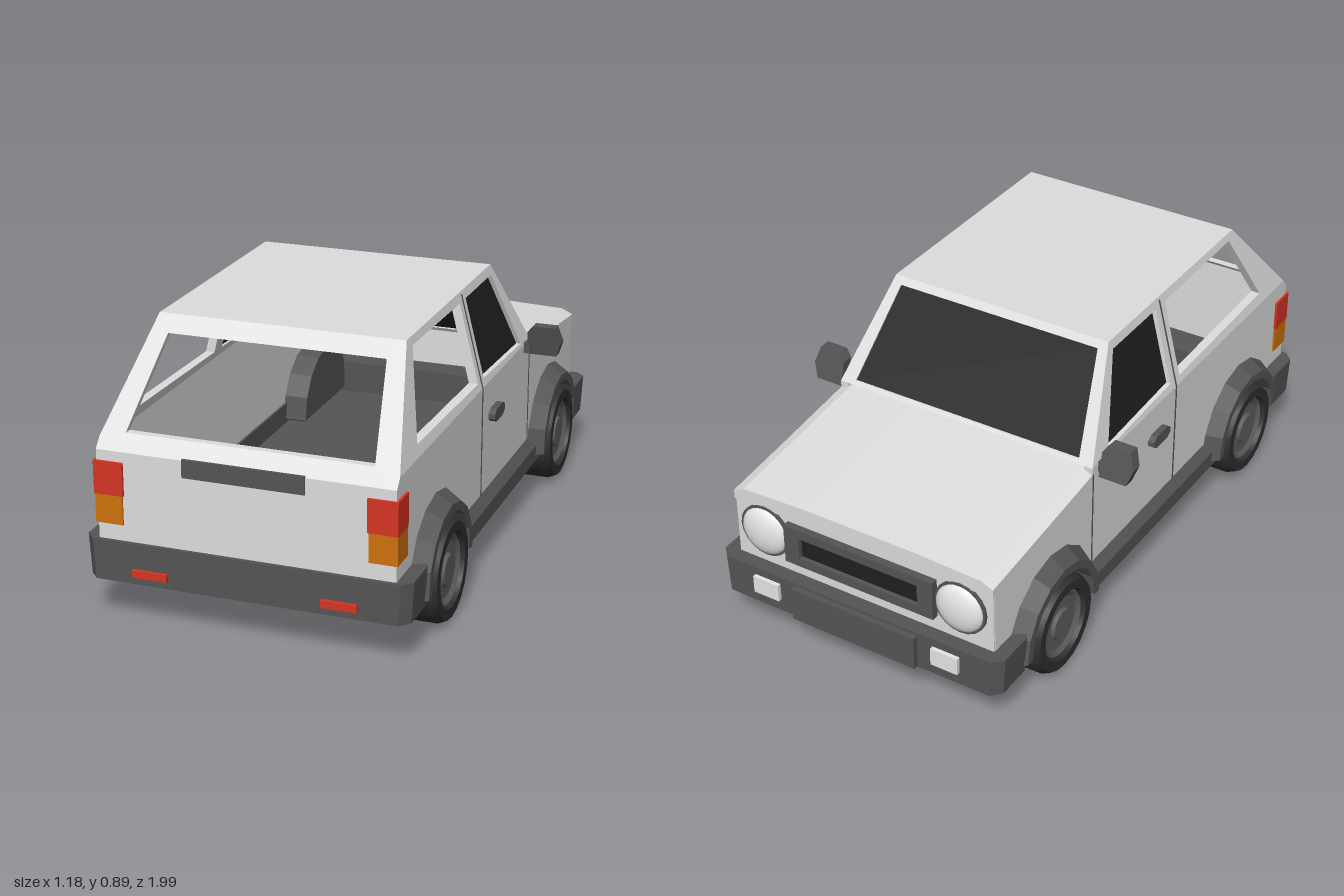
import * as THREE from 'three';
import { toCreasedNormals } from 'three/addons/utils/BufferGeometryUtils.js';

const mat = (name, color) => {
  const m = new THREE.MeshStandardMaterial({ color });
  m.name = name;
  return m;
};

export function createModel() {
  const car = new THREE.Group();
  car.name = 'hatchback';
  const paint = mat('light grey paint', 0xdedede);
  const trim = mat('dark grey trim', 0x555555);
  const glass = mat('black glass', 0x202020);
  const rubber = mat('tyre rubber', 0x303030);
  const steel = mat('wheel steel', 0x606060);
  const red = mat('red lens', 0xd63424);
  const amber = mat('amber lens', 0xd0720c);
  const lamp = mat('clear lamp', 0xececec);

  const add = (name, geo, m) => {
    const mesh = new THREE.Mesh(geo, m);
    mesh.name = name;
    car.add(mesh);
    return mesh;
  };
  // box given by its limits
  const box = (name, m, x0, x1, y0, y1, z0, z1) => {
    const b = add(name, new THREE.BoxGeometry(Math.abs(x1 - x0), y1 - y0, z1 - z0), m);
    b.position.set((x0 + x1) / 2, (y0 + y1) / 2, (z0 + z1) / 2);
    return b;
  };
  const vecs = pts => pts.map(p => new THREE.Vector2(p[0], p[1]));
  // flat outline with holes, extruded by depth, each point placed by map(u, v, w)
  const slab = (name, m, pts, holes, depth, map) => {
    const shape = new THREE.Shape(vecs(pts));
    holes.forEach(h => shape.holes.push(new THREE.Path(vecs(h))));
    const geo = new THREE.ExtrudeGeometry(shape, { depth, bevelEnabled: false });
    const p = geo.attributes.position;
    for (let i = 0; i < p.count; i++) p.setXYZ(i, ...map(p.getX(i), p.getY(i), p.getZ(i)));
    // turn mirrored parts the right way out
    const [a, b, c] = [0, 1, 2].map(() => new THREE.Vector3());
    let volume = 0;
    for (let i = 0; i < p.count; i += 3) {
      a.fromBufferAttribute(p, i); b.fromBufferAttribute(p, i + 1); c.fromBufferAttribute(p, i + 2);
      volume += a.dot(b.cross(c));
    }
    if (volume < 0) for (let i = 0; i < p.count; i += 3) {
      b.fromBufferAttribute(p, i + 1); c.fromBufferAttribute(p, i + 2);
      p.setXYZ(i + 1, c.x, c.y, c.z);
      p.setXYZ(i + 2, b.x, b.y, b.z);
    }
    geo.computeVertexNormals();
    return add(name, geo, m);
  };
  const AXLE = 0.62, HUB = 0.165, SIDE = 0.468, BELT = 0.58;
  const arc = (cz, r, from, to, n = 8) => Array.from({ length: n + 1 }, (_, i) => {
    const t = THREE.MathUtils.degToRad(from + (to - from) * i / n);
    return [cz + r * Math.cos(t), HUB + r * Math.sin(t)];
  });

  // side window outlines as (z, y)
  const rearWindow = [[0.77, 0.615], [0.635, 0.865], [0.19, 0.86], [0.19, 0.605]];
  const doorWindow = [[0.13, 0.86], [0.13, 0.605], [-0.275, 0.592], [-0.14, 0.86]];
  const lower = [[-0.93, 0.2], ...arc(-AXLE, 0.2, 170, 10), ...arc(AXLE, 0.2, 170, 10),
    [0.97, 0.2], [0.97, 0.55], [0.945, BELT], [-0.375, BELT], [-0.375, 0.555], [-0.93, 0.495]];
  const upper = [[0.945, BELT], [0.67, 0.89], [-0.155, 0.89], [-0.375, BELT]];

  for (const s of [1, -1]) {
    const lean = (inset = 0) => (u, v, w) => [s * (SIDE - (v - BELT) * 0.25 - inset - w), v, u];
    const outer = X => (u, v, w) => [s * (X - w), v, u];

    // body sides
    slab('lowerSide', paint, lower, [], 0.03, outer(SIDE));
    slab('upperSide', paint, upper, [rearWindow, doorWindow], 0.03, lean());
    slab('doorGlass', glass, doorWindow, [], 0.006, lean(0.015));

    // door gaps
    box('doorGap', trim, s * 0.466, s * 0.47, 0.21, BELT, 0.157, 0.163);
    box('doorGap', trim, s * 0.466, s * 0.47, 0.21, 0.555, -0.373, -0.368);
    slab('pillarGap', trim, [[0.157, BELT], [0.163, BELT], [0.163, 0.88], [0.157, 0.88]], [], 0.004, lean(-0.002));

    // sill
    slab('sill', trim, [[0.43, 0.135], [0.495, 0.135], [0.495, 0.19], [0.468, 0.22], [0.43, 0.22]], [], 0.88,
      (u, v, w) => [s * u, v, w - 0.44]);

    // door handle
    slab('doorHandle', trim, [[-0.02, 0.455], [0, 0.442], [0.07, 0.442], [0.09, 0.455], [0.09, 0.472], [0.07, 0.485],
      [0, 0.485], [-0.02, 0.472]], [], 0.03, outer(0.49));

    // door mirror
    slab('mirror', trim, [[0.48, 0.545], [0.575, 0.545], [0.592, 0.595], [0.575, 0.65], [0.5, 0.65], [0.48, 0.625]], [],
      0.04, (u, v, w) => [s * u, v, -0.305 - w + (v - 0.6) * 0.25]);
    box('mirrorStalk', trim, s * 0.455, s * 0.49, 0.55, 0.585, -0.34, -0.305);

    // wheels with arches and wells
    for (const cz of [AXLE, -AXLE]) {
      slab('archFlare', trim, [...arc(cz, 0.252, -2, 182), ...arc(cz, 0.185, 182, -2)], [], 0.065, (u, v, w) => {
        const d = Math.hypot(u - cz, v - HUB), k = w > 0.01 && d > 0.21 ? 0.212 / d : 1;
        return [s * (0.455 + w), HUB + (v - HUB) * k, cz + (u - cz) * k];
      });
      slab('wheelWell', trim, [...arc(cz, 0.21, 0, 180), ...arc(cz, 0.19, 180, 0)], [], 0.11, outer(0.465));
      slab('wellWall', trim, arc(cz, 0.21, 0, 180), [], 0.01, outer(0.365));

      const wheel = new THREE.Group();
      wheel.name = 'wheel';
      const turn = (name, pts, m) => {
        const mesh = new THREE.Mesh(toCreasedNormals(new THREE.LatheGeometry(vecs(pts), 20), 0.5), m);
        mesh.name = name;
        wheel.add(mesh);
      };
      turn('tyre', [[0, -0.07], [0.155, -0.07], [0.165, -0.06], [0.165, 0.045], [0.152, 0.073], [0.12, 0.073],
        [0.112, 0.045]], rubber);
      turn('hub', [[0.115, 0.05], [0.108, 0.062], [0.09, 0.052], [0.055, 0.052], [0.047, 0.062], [0, 0.062]], steel);
      wheel.rotation.z = -s * Math.PI / 2;
      wheel.position.set(s * 0.452, HUB, cz);
      car.add(wheel);
    }

    // rear lamps and reflectors
    box('tailLamp', red, s * 0.382, s * 0.476, 0.412, 0.517, 0.89, 0.978);
    box('rearIndicator', amber, s * 0.386, s * 0.474, 0.32, 0.412, 0.89, 0.976);
    box('rearReflector', red, s * 0.243, s * 0.355, 0.163, 0.187, 0.98, 0.993);

    // headlights and bumper lamps
    const ring = add('headlightRing', toCreasedNormals(new THREE.CylinderGeometry(0.09, 0.09, 0.02, 20), 0.5), trim);
    ring.rotation.x = Math.PI / 2;
    ring.position.set(s * 0.355, 0.385, -0.935);
    const lens = add('headlight', new THREE.SphereGeometry(1, 20, 12), lamp);
    lens.scale.set(0.083, 0.083, 0.03);
    lens.position.set(s * 0.355, 0.385, -0.942);
    box('bumperLamp', lamp, s * 0.28, s * 0.375, 0.175, 0.235, -0.995, -0.96);
  }

  // roof, tailgate frame, windscreen
  box('roof', paint, -0.39, 0.39, 0.86, 0.89, -0.155, 0.67);
  const mirrorPts = pts => [...pts, ...pts.map(([x, y]) => [-x, y]).reverse()];
  const cabinEnd = mirrorPts([[0.466, BELT], [0.39, 0.89]]);
  const rearSlope = (u, v, w) => [u, v, 0.67 + (0.89 - v) * 0.887 - w];
  const frontSlope = inset => (u, v, w) => [u, v, -0.155 - (0.89 - v) * 0.71 + inset + w];
  slab('tailgateFrame', paint, cabinEnd, [mirrorPts([[0.388, 0.597], [0.345, 0.842]])], 0.025, rearSlope);
  const screen = mirrorPts([[0.415, 0.592], [0.362, 0.867]]);
  slab('windscreenFrame', paint, cabinEnd, [screen], 0.025, frontSlope(0));
  slab('windscreen', glass, screen, [], 0.006, frontSlope(0.006));

  // tail panel with a sloping top edge
  slab('tailPanel', paint, [[0.97, 0.2], [0.97, 0.55], [0.945, BELT], [0.92, BELT], [0.92, 0.2]], [], 0.93,
    (u, v, w) => [w - 0.465, v, u]);
  box('tailgateHandle', trim, -0.192, 0.192, 0.498, 0.555, 0.965, 0.975);

  // bonnet, crowned across and falling towards the nose
  slab('bonnet', paint, [[-SIDE, -0.03], [SIDE, -0.03], [SIDE, 0], [0.43, 0.018], [0.2, 0.027], [-0.2, 0.027],
    [-0.43, 0.018], [-SIDE, 0]], [], 0.575, (u, v, w) => [u, 0.555 - (0.575 - w) * 0.105 + v, w - 0.94]);

  // nose and grille
  box('nosePanel', paint, -0.466, 0.466, 0.2, 0.48, -0.935, -0.9);
  slab('grilleFrame', trim, mirrorPts([[0.27, 0.315], [0.27, 0.45]]), [mirrorPts([[0.215, 0.345], [0.215, 0.42]])], 0.03,
    (u, v, w) => [u, v, w - 0.96]);
  box('grille', glass, -0.22, 0.22, 0.34, 0.425, -0.945, -0.93);

  // bumpers, outline in plan as (x, z)
  const plan = mirrorPts([[0.495, 0.8], [0.515, 0.83], [0.515, 0.95], [0.485, 0.982]]);
  slab('rearBumper', trim, plan, [], 0.13, (u, v, w) => [u * (w < 0.01 ? 0.985 : 1), 0.138 + w, v]);
  slab('frontBumper', trim, plan, [], 0.13, (u, v, w) => [u * (w < 0.01 ? 0.985 : 1), 0.132 + w, -v]);
  box('frontBumperCentre', trim, -0.225, 0.225, 0.135, 0.25, -1, -0.97);

  // floor with openings for the wheels
  const opening = (s, cz) => [[s * 0.37, cz - 0.18], [s * 0.485, cz - 0.18], [s * 0.485, cz + 0.18], [s * 0.37, cz + 0.18]];
  slab('floor', trim, mirrorPts([[0.49, -0.95], [0.49, 0.95]]),
    [opening(1, AXLE), opening(-1, AXLE), opening(1, -AXLE), opening(-1, -AXLE)], 0.02,
    (u, v, w) => [u, 0.13 + w, v]);

  return car;
}
